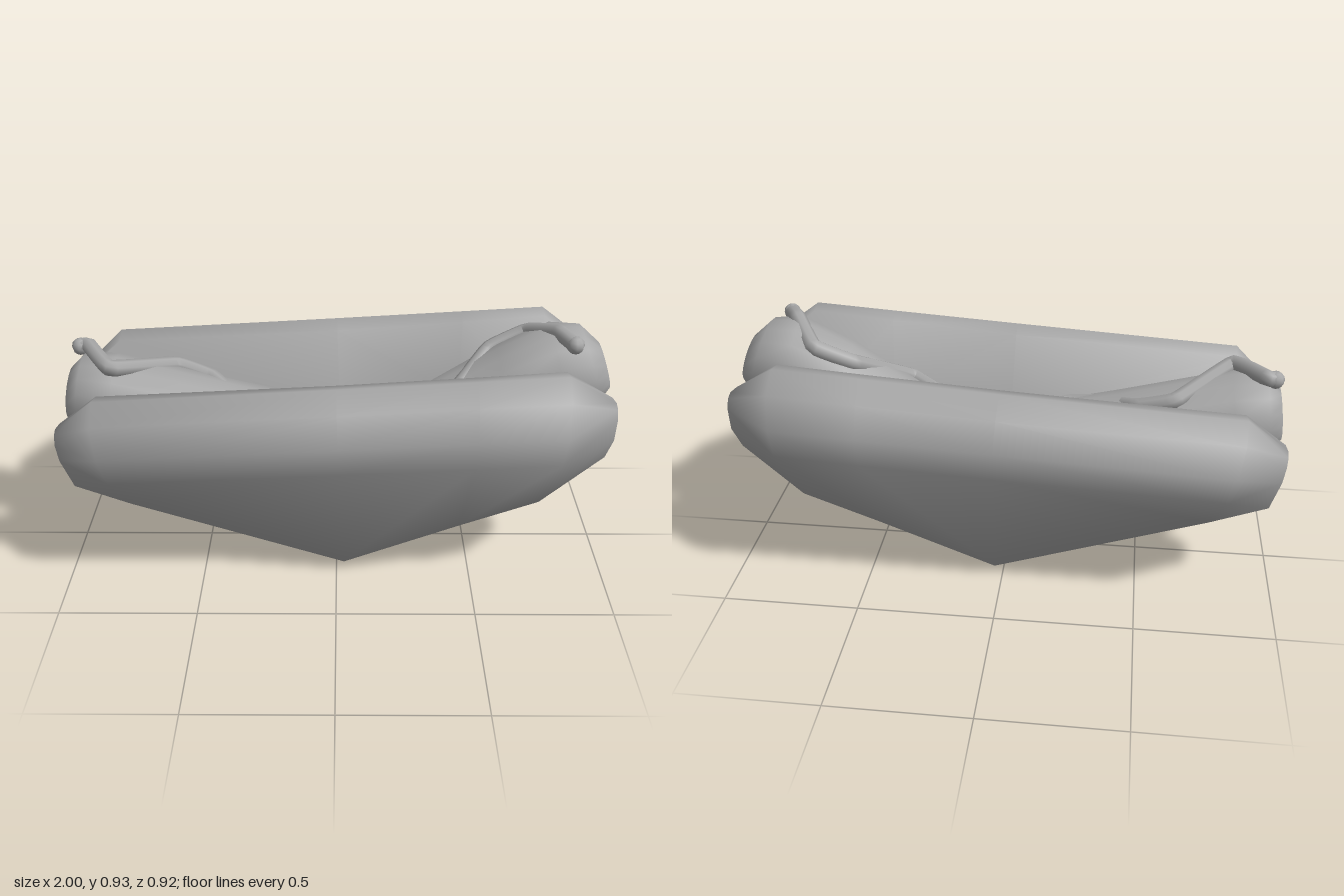
import * as THREE from 'three';
import { toCreasedNormals } from 'three/addons/utils/BufferGeometryUtils.js';

// Skin closed loops of [x, y, z] points (ordered along +x) and cap both ends
function loft(rings, flip = false) {
  const n = rings[0].length, index = [];
  const tri = (a, b, c) => (flip ? index.push(a, c, b) : index.push(a, b, c));
  for (let i = 0; i < rings.length - 1; i++) {
    for (let j = 0; j < n; j++) {
      const a = i * n + j, b = i * n + (j + 1) % n;
      tri(a, b, a + n);
      tri(b, b + n, a + n);
    }
  }
  const last = (rings.length - 1) * n;
  for (let j = 1; j < n - 1; j++) {
    tri(0, j + 1, j);
    tri(last, last + j, last + j + 1);
  }
  const g = new THREE.BufferGeometry();
  g.setAttribute('position', new THREE.Float32BufferAttribute(rings.flat(2), 3));
  g.setIndex(index);
  return toCreasedNormals(g, 1.25);
}

// Bun half: sections of [z, y], from the crest over the outside, under, and up the inside
const bunSections = [
  { top: -0.99, bottom: -0.95, pts: [[0.25, 0.62], [0.28, 0.61], [0.30, 0.58], [0.30, 0.52], [0.23, 0.37], [0.12, 0.33], [0.09, 0.38], [0.09, 0.45], [0.11, 0.53], [0.19, 0.61]] },
  { top: -0.84, bottom: -0.71, pts: [[0.30, 0.755], [0.40, 0.71], [0.45, 0.61], [0.42, 0.50], [0.27, 0.32], [0.03, 0.145], [0.0, 0.21], [0.01, 0.36], [0.05, 0.47], [0.23, 0.74]] },
  { top: 0.0, bottom: 0.03, pts: [[0.30, 0.805], [0.40, 0.755], [0.46, 0.66], [0.44, 0.55], [0.24, 0.04], [0.085, 0], [0.06, 0.16], [0.09, 0.33], [0.16, 0.49], [0.23, 0.785]] },
  { top: 0.48, bottom: 0.45, pts: [[0.30, 0.835], [0.40, 0.785], [0.46, 0.685], [0.45, 0.58], [0.265, 0.225], [0.065, 0.146], [0.03, 0.23], [0.06, 0.41], [0.15, 0.56], [0.235, 0.82]] },
  { top: 0.79, bottom: 0.72, pts: [[0.30, 0.855], [0.40, 0.805], [0.46, 0.70], [0.455, 0.60], [0.28, 0.34], [0.05, 0.24], [0.0, 0.28], [0.003, 0.45], [0.03, 0.55], [0.24, 0.845]] },
  { top: 0.97, bottom: 0.96, pts: [[0.25, 0.73], [0.28, 0.72], [0.30, 0.69], [0.30, 0.61], [0.23, 0.50], [0.13, 0.48], [0.09, 0.52], [0.09, 0.57], [0.11, 0.63], [0.19, 0.72]] },
];

function bunHalf(side) {
  const rings = bunSections.map(({ top, bottom, pts }) => {
    const ys = pts.map((p) => p[1]), lo = Math.min(...ys), hi = Math.max(...ys);
    return pts.map(([z, y]) => [THREE.MathUtils.lerp(bottom, top, (y - lo) / (hi - lo)), y, z * side]);
  });
  return loft(rings, side < 0);
}

// Sausage: [x, centre height, radius, lean of the ring along x], sagging in the middle
const sausageRings = [
  [-0.985, 0.635, 0.10, 0.1], [-0.94, 0.64, 0.145, 0.1], [-0.82, 0.615, 0.165, 0.1], [-0.4, 0.51, 0.165, 0], [0, 0.415, 0.165, 0],
  [0.3, 0.47, 0.165, 0], [0.6, 0.655, 0.165, -0.1], [0.8, 0.745, 0.165, -0.2], [0.92, 0.76, 0.145, -0.3], [0.975, 0.755, 0.085, -0.3],
];

function sausageGeometry() {
  const sides = 16;
  return loft(sausageRings.map(([x, cy, r, lean]) => Array.from({ length: sides }, (_, j) => {
    const a = (j / sides) * Math.PI * 2, up = r * Math.cos(a);
    return [x + lean * up, cy + up, r * Math.sin(a)];
  })));
}

// Height of the sausage skin at x, z
function skinHeight(x, z) {
  const k = Math.max(1, sausageRings.findIndex((s) => s[0] >= x));
  const a = sausageRings[k - 1], b = sausageRings[k], t = (x - a[0]) / (b[0] - a[0]);
  const cy = THREE.MathUtils.lerp(a[1], b[1], t), r = THREE.MathUtils.lerp(a[2], b[2], t);
  return cy + Math.sqrt(Math.max(0, r * r - z * z));
}

export function createModel() {
  const model = new THREE.Group();
  model.name = 'hotDog';
  const grey = new THREE.MeshStandardMaterial({ color: 0xa6a6a6 });
  grey.name = 'grey';
  const add = (name, geometry, parent = model) => {
    const mesh = new THREE.Mesh(geometry, grey);
    mesh.name = name;
    parent.add(mesh);
    return mesh;
  };

  add('frontBun', bunHalf(1));
  add('backBun', bunHalf(-1));
  add('sausage', sausageGeometry());

  // Sauce zigzag: [x, z, lift above the skin], sinking in left of the middle
  const zigzag = [
    [-0.945, -0.06, 0.03], [-0.915, -0.06, 0.03], [-0.81, 0.09, 0.03], [-0.60, -0.09, 0.01], [-0.47, -0.07, -0.01],
    [-0.36, 0.03, -0.04], [-0.22, 0.06, -0.02], [0.07, -0.08, 0.01], [0.38, 0.11, 0.005], [0.56, -0.07, 0.005],
    [0.70, -0.09, 0.01], [0.79, 0.04, 0.0], [0.835, 0.12, 0.035],
  ];
  const path = zigzag.map(([x, z, lift]) => new THREE.Vector3(x, skinHeight(x, z) + lift, z));
  const sauce = new THREE.Group();
  sauce.name = 'sauce';
  model.add(sauce);
  const curve = new THREE.CatmullRomCurve3(path, false, 'catmullrom', 0.15);
  add('sauceLine', new THREE.TubeGeometry(curve, 120, 0.03, 8), sauce);
  for (const [name, p] of [['sauceStart', path[0]], ['sauceEnd', path[path.length - 1]]]) {
    add(name, new THREE.SphereGeometry(0.032, 8, 6), sauce).position.copy(p);
  }
  return model;
}
